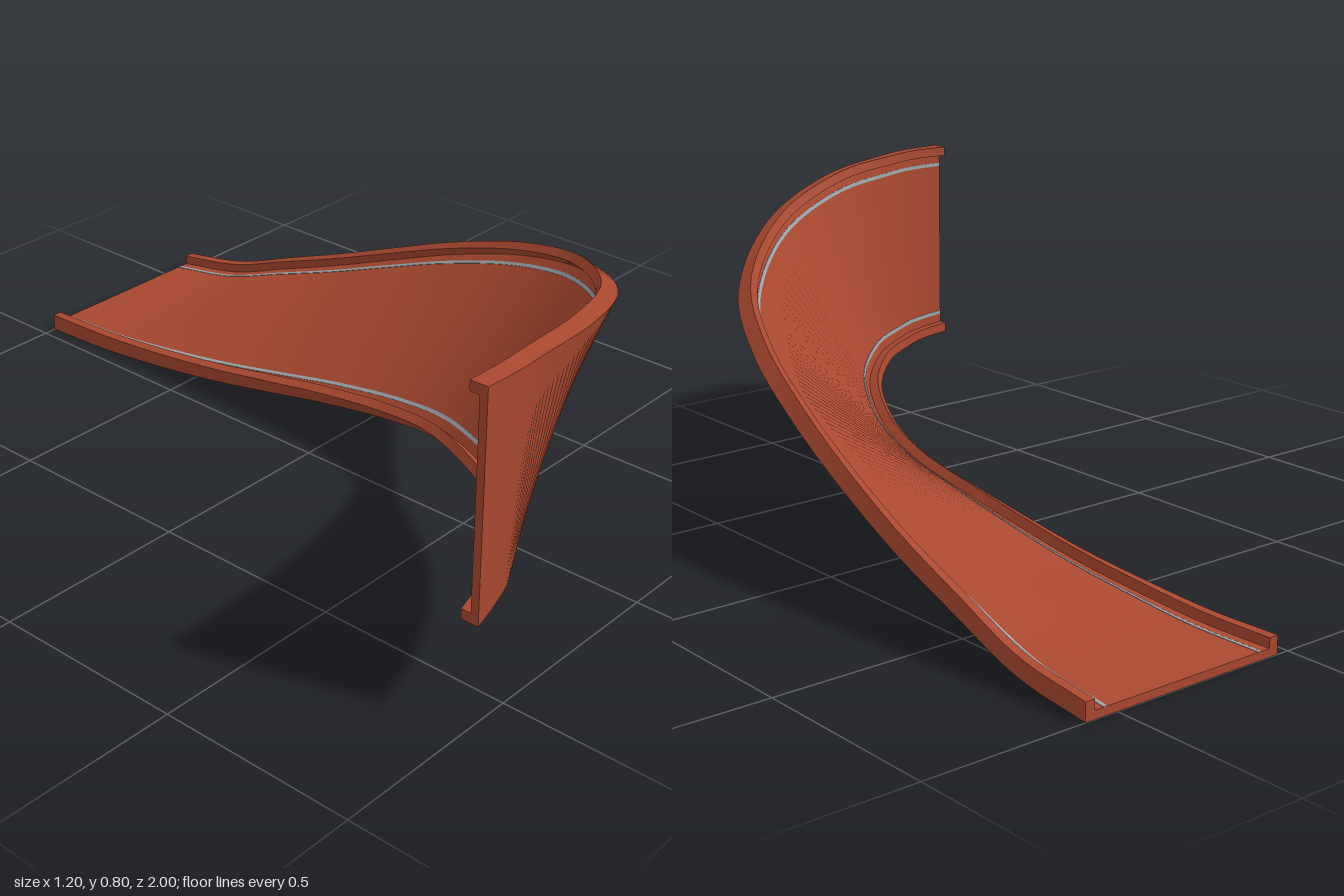
import * as THREE from 'three';

// Stations along the track: x, y, z of the underside centre, bank and heading in degrees
const STATIONS = [
  [0.31, 0, -1, 0, 0],
  [0.32, 0.018, -0.8, 3.5, 0],
  [0.328, 0.0625, -0.6, 10, 0],
  [0.335, 0.112, -0.4, 16, 0],
  [0.336, 0.172, -0.2, 22.5, 2],
  [0.328, 0.238, 0.01, 30, 6],
  [0.295, 0.308, 0.25, 39, 13],
  [0.205, 0.375, 0.485, 48, 25],
  [0.01, 0.445, 0.735, 62, 41],
  [-0.21, 0.495, 0.89, 75, 58],
  [-0.4, 0.515, 0.962, 84, 74],
  [-0.5, 0.521, 0.987, 87, 82],
  [-0.6, 0.5225, 1, 90, 90],
];
const STEPS = 120;
const HALF = 0.277; // half the track width
const RAIL = 0.025;
const RAIL_HEIGHT = 0.045;
const DECK = 0.02;

const spline = (points) => new THREE.CatmullRomCurve3(points, false, 'catmullrom', 0.5);
const path = spline(STATIONS.map(([x, y, z]) => new THREE.Vector3(x, y, z)));
const turn = spline(STATIONS.map((s) => new THREE.Vector3(s[3], s[4], 0)));

// Position and the two cross-section axes (across, up) at every step
const frames = Array.from({ length: STEPS + 1 }, (_, i) => {
  const t = i / STEPS;
  const angles = turn.getPoint(t);
  const bank = THREE.MathUtils.degToRad(angles.x);
  const heading = THREE.MathUtils.degToRad(angles.y);
  const side = new THREE.Vector3(Math.cos(heading), 0, Math.sin(heading));
  const across = side.clone().multiplyScalar(Math.cos(bank));
  across.y = Math.sin(bank);
  const up = side.clone().multiplyScalar(-Math.sin(bank));
  up.y = Math.cos(bank);
  return { centre: path.getPoint(t), across, up };
});

// Sweep a rectangle along the track, with sharp long edges and closed ends
function sweep(u0, u1, v0, v1) {
  const corners = [[u0, v0], [u1, v0], [u1, v1], [u0, v1]];
  const positions = [];
  const index = [];
  const put = (frame, [u, v]) => {
    const p = frame.centre.clone().addScaledVector(frame.across, u).addScaledVector(frame.up, v);
    positions.push(p.x, p.y, p.z);
    return positions.length / 3 - 1;
  };
  for (let c = 0; c < 4; c++) {
    frames.forEach((frame, i) => {
      const a = put(frame, corners[c]);
      const b = put(frame, corners[(c + 1) % 4]);
      if (i > 0) index.push(a - 2, b - 2, b, a - 2, b, a);
    });
  }
  const [s0, s1, s2, s3] = corners.map((c) => put(frames[0], c));
  index.push(s0, s2, s1, s0, s3, s2);
  const [e0, e1, e2, e3] = corners.map((c) => put(frames[STEPS], c));
  index.push(e0, e1, e2, e0, e2, e3);

  const geometry = new THREE.BufferGeometry();
  geometry.setAttribute('position', new THREE.Float32BufferAttribute(positions, 3));
  geometry.setIndex(index);
  geometry.computeVertexNormals();
  return geometry;
}

export function createModel() {
  const rust = new THREE.MeshStandardMaterial({ color: 0xa9482f });
  rust.name = 'rust red';
  const grey = new THREE.MeshStandardMaterial({ color: 0x9ca3ab });
  grey.name = 'line grey';

  const model = new THREE.Group();
  model.name = 'bankedTrack';
  const add = (name, material, ...rect) => {
    const mesh = new THREE.Mesh(sweep(...rect), material);
    mesh.name = name;
    model.add(mesh);
  };

  // Road surface
  add('deck', rust, -HALF + RAIL, HALF - RAIL, 0, DECK);

  // Raised kerbs on both edges
  add('innerRail', rust, -HALF, -HALF + RAIL, 0, RAIL_HEIGHT);
  add('outerRail', rust, HALF - RAIL, HALF, 0, RAIL_HEIGHT);

  // Thin painted lines beside the kerbs
  const line = HALF - 0.054;
  add('innerLine', grey, -line - 0.005, -line + 0.005, DECK - 0.001, DECK + 0.001);
  add('outerLine', grey, line - 0.005, line + 0.005, DECK - 0.001, DECK + 0.001);

  return model;
}
